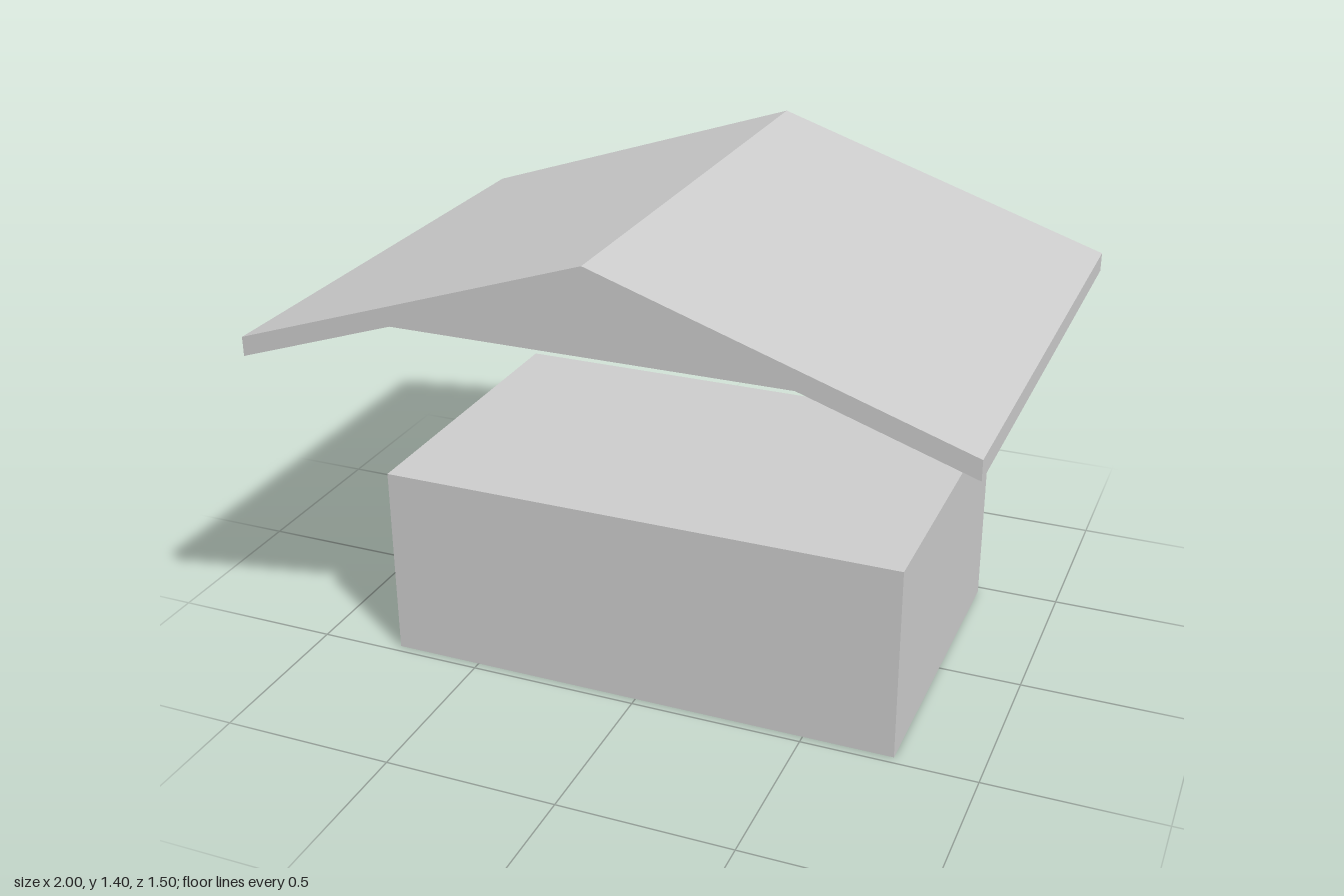
import * as THREE from 'three';

const grey = new THREE.MeshStandardMaterial({ color: 0xcccccc });
grey.name = 'light grey';

// Extrudes an outline in x and y, centred on z = 0
function prism(name, points, depth) {
  const shape = new THREE.Shape(points.map(([x, y]) => new THREE.Vector2(x, y)));
  const geometry = new THREE.ExtrudeGeometry(shape, { depth, bevelEnabled: false });
  geometry.translate(0, 0, -depth / 2);
  const mesh = new THREE.Mesh(geometry, grey);
  mesh.name = name;
  return mesh;
}

export function createModel() {
  const group = new THREE.Group();
  group.name = 'gableRoofAndBase';

  // Rectangular base block
  const base = new THREE.Mesh(new THREE.BoxGeometry(1.52, 0.573, 0.95), grey);
  base.name = 'base';
  base.position.y = 0.573 / 2;
  group.add(base);

  // Folded roof slab with vertical eave edges
  const eave = 1.008, ridge = 1.342, thick = 0.055;
  group.add(prism('roof', [
    [-1, eave], [0, ridge], [1, eave],
    [1, eave + thick], [0, ridge + thick], [-1, eave + thick],
  ], 1.5));

  // Solid gable set back beneath the roof slopes
  const floor = 1.078;
  const half = (ridge - floor) / (ridge - eave);
  group.add(prism('gable', [[-half, floor], [half, floor], [0, ridge]], 1.15));

  return group;
}
